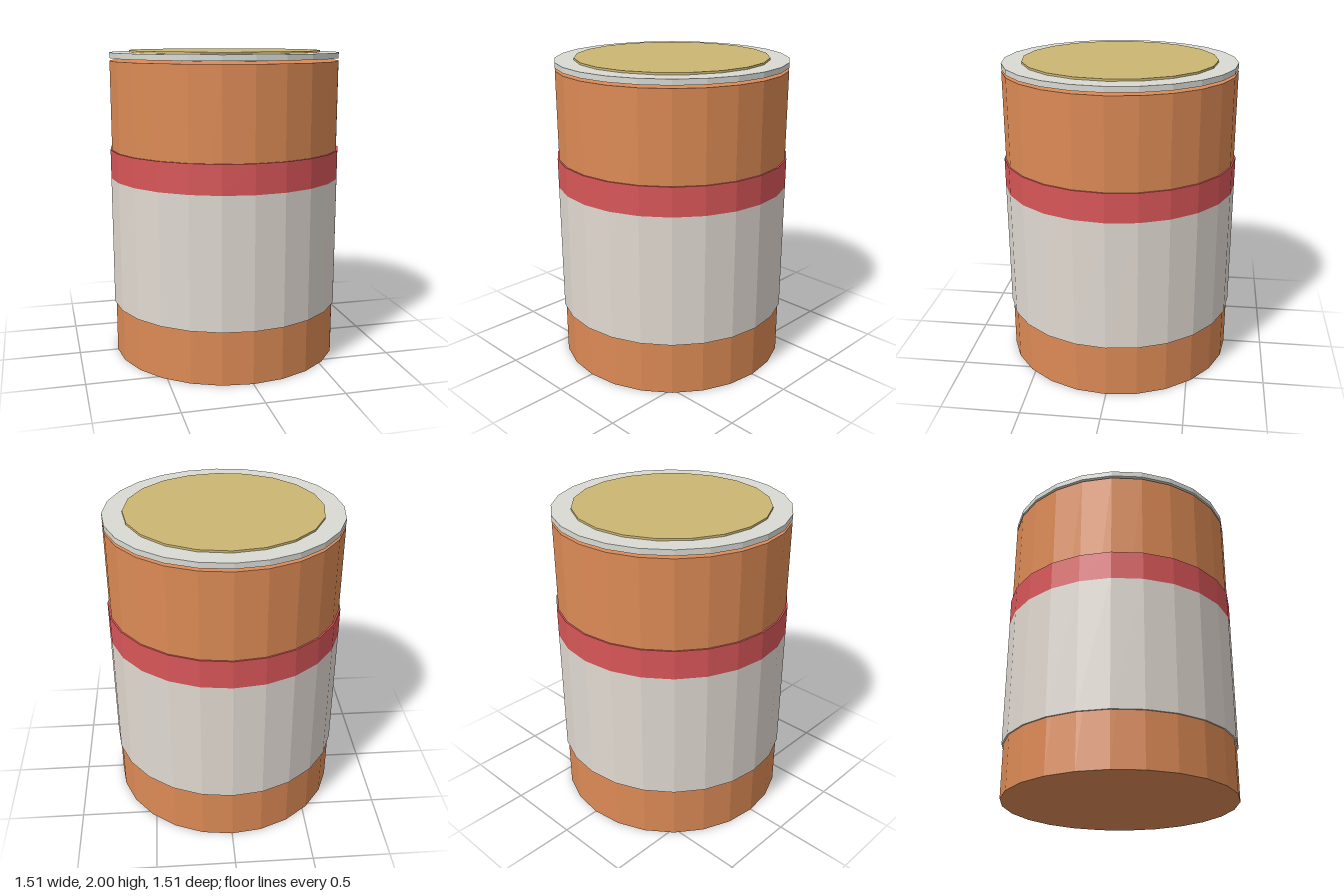
import * as THREE from 'three';

export function createModel() {
  const group = new THREE.Group();

  // Faceted disc or drum spanning y0..y1
  const drum = (name, radius, y0, y1, sides, color) => {
    const material = new THREE.MeshStandardMaterial({ color, flatShading: true });
    const mesh = new THREE.Mesh(new THREE.CylinderGeometry(radius, radius, y1 - y0, sides), material);
    mesh.position.y = (y0 + y1) / 2;
    mesh.name = name;
    group.add(mesh);
  };

  const copper = 0xdc8a55, gold = 0xcbb672;

  // Can body with its wrapped label
  drum('body', 0.745, 0, 1.935, 24, copper);
  drum('label', 0.755, 0.345, 1.185, 24, 0xe0d9d1);
  drum('labelStripe', 0.755, 1.185, 1.37, 24, 0xd85658);

  // Lid raised on a narrow neck, with an inset plate on top
  drum('neck', 0.36, 1.935, 1.952, 20, gold);
  drum('lid', 0.745, 1.952, 1.987, 24, 0xd9dad3);
  drum('topPlate', 0.62, 1.987, 2, 20, gold);

  return group;
}
